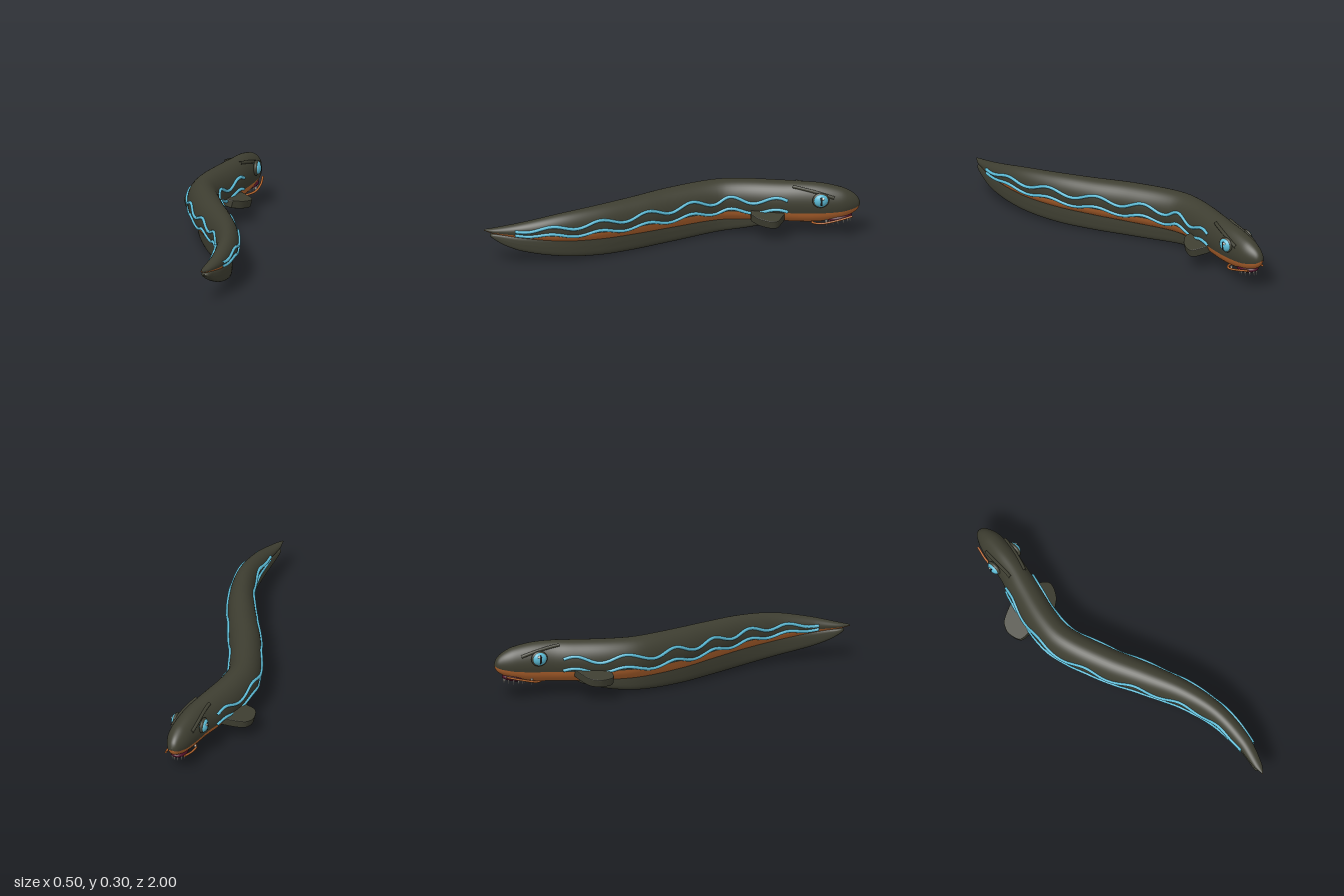
import * as THREE from 'three';

const mat = (name, color) => {
  const m = new THREE.MeshStandardMaterial({ color });
  m.name = name;
  return m;
};

// Smooth interpolation through rows of [z, value, value...]
const sampler = (rows) => (z) => {
  let i = 0;
  while (i < rows.length - 2 && z > rows[i + 1][0]) i++;
  const p = rows[i], q = rows[i + 1], d = q[0] - p[0];
  const t = THREE.MathUtils.clamp((z - p[0]) / d, 0, 1);
  const slope = (k, c) => {
    const a = rows[Math.max(k - 1, 0)], b = rows[Math.min(k + 1, rows.length - 1)];
    return (b[c] - a[c]) / (b[0] - a[0]);
  };
  return p.slice(1).map((v, k) => {
    const c = k + 1, t2 = t * t, t3 = t2 * t;
    return v * (2 * t3 - 3 * t2 + 1) + q[c] * (3 * t2 - 2 * t3)
      + d * (slope(i, c) * (t3 - 2 * t2 + t) + slope(i + 1, c) * (t3 - t2));
  });
};

// Sideways bend of the spine: z, x
const spine = sampler([
  [-1, 0.032], [-0.9, 0.026], [-0.8, 0.01], [-0.7, -0.01], [-0.6, -0.04], [-0.4, -0.093],
  [-0.25, -0.1], [0, -0.02], [0.2, 0.067], [0.4, 0.145], [0.6, 0.188], [0.8, 0.182], [0.95, 0.145], [1, 0.13]]);

// Body sections: z, top, bottom, half width
const body = sampler([
  [-1, 0.18, 0.176, 0.001], [-0.99, 0.207, 0.152, 0.022], [-0.97, 0.23, 0.132, 0.036], [-0.94, 0.25, 0.116, 0.05],
  [-0.9, 0.268, 0.1, 0.061], [-0.8, 0.29, 0.083, 0.07], [-0.7, 0.297, 0.079, 0.073], [-0.6, 0.298, 0.079, 0.08],
  [-0.3, 0.3, 0.08, 0.083], [0, 0.297, 0.082, 0.083], [0.2, 0.291, 0.09, 0.077], [0.4, 0.285, 0.1, 0.066],
  [0.6, 0.268, 0.115, 0.054], [0.8, 0.229, 0.14, 0.04], [0.95, 0.193, 0.163, 0.022], [1, 0.183, 0.175, 0.003]]);

// Keel fin sections: z, top, bottom, half width
const keel = sampler([
  [-0.57, 0.09, 0.075, 0.004], [-0.54, 0.11, 0.062, 0.024], [-0.4, 0.13, 0.03, 0.029], [-0.2, 0.13, 0.01, 0.03],
  [0, 0.13, 0.003, 0.03], [0.2, 0.135, 0.005, 0.03], [0.4, 0.14, 0.014, 0.028], [0.6, 0.145, 0.035, 0.026],
  [0.8, 0.155, 0.07, 0.025], [0.9, 0.162, 0.105, 0.023], [0.96, 0.163, 0.143, 0.02], [0.97, 0.156, 0.15, 0.002]]);

// Point on a section ring; angle 0 is the +x flank, PI/2 the top
function surface(section, z, a, power = 1, grow = 0) {
  const [top, bottom, w] = section(z);
  const x = spine(z)[0];
  const s = (spine(Math.min(z + 0.01, 1))[0] - spine(Math.max(z - 0.01, -1))[0]) / 0.02;
  const len = Math.hypot(1, s);
  const c = Math.sign(Math.cos(a)) * Math.abs(Math.cos(a)) ** power * (w + grow);
  const v = Math.sign(Math.sin(a)) * Math.abs(Math.sin(a)) ** power * ((top - bottom) / 2 + grow);
  return new THREE.Vector3(x + c / len, (top + bottom) / 2 + v, z - c * s / len);
}

// Skin stretched over the rings between two angles
function loft(section, z0, z1, a0, a1, rings, sides, power) {
  const pos = [], idx = [];
  for (let i = 0; i <= rings; i++) {
    const z = z0 + (z1 - z0) * (1 - Math.cos(Math.PI * i / rings)) / 2;
    for (let j = 0; j <= sides; j++) {
      pos.push(...surface(section, z, a0 + (a1 - a0) * j / sides, power).toArray());
      if (i < rings && j < sides) {
        const p = i * (sides + 1) + j, q = p + sides + 1;
        idx.push(p, p + 1, q, p + 1, q + 1, q);
      }
    }
  }
  const g = new THREE.BufferGeometry();
  g.setAttribute('position', new THREE.Float32BufferAttribute(pos, 3));
  g.setIndex(idx);
  g.computeVertexNormals();
  return g;
}

const tube = (pts, r, n = 40) =>
  new THREE.TubeGeometry(new THREE.CatmullRomCurve3(pts), n, r, 8);

export function createModel() {
  const model = new THREE.Group();
  const dark = mat('dark olive skin', 0x3e3e31);
  const orange = mat('orange belly', 0xb8672f);
  const blue = mat('bright blue', 0x5cbbd6);
  const maroon = mat('maroon mouth', 0x4f1029);
  const ivory = mat('ivory', 0xe8e4d8);
  const black = mat('black pupil', 0x141414);
  dark.side = orange.side = THREE.DoubleSide;

  const add = (name, geometry, material, parent = model) => {
    const m = new THREE.Mesh(geometry, material);
    m.name = name;
    parent.add(m);
    return m;
  };
  const ball = (name, material, center, radii, parent) => {
    const m = add(name, new THREE.SphereGeometry(1, 24, 16), material, parent);
    m.position.set(...center);
    m.scale.set(...radii);
    return m;
  };

  // Body, split along the flank into back and belly
  const edge = -0.42;
  add('back', loft(body, -1, 1, edge, Math.PI - edge, 90, 32), dark);
  add('belly', loft(body, -1, 1, -Math.PI - edge, edge, 90, 20), orange);
  add('keelFin', loft(keel, -0.57, 0.97, 0, Math.PI * 2, 70, 24, 0.6), dark);

  for (const side of [1, -1]) {
    const label = side > 0 ? 'left' : 'right';
    const flank = (a) => (side > 0 ? a : Math.PI - a);

    // Wavy stripes along the flank
    [[0.19, 0.16, 'UpperStripe'], [-0.37, 0.13, 'LowerStripe']].forEach(([level, amp, name]) => {
      const pts = [];
      for (let i = 0; i <= 72; i++) {
        const z = -0.64 + 1.48 * i / 72;
        const a = level + amp * Math.cos((z - 0.165) / 0.25 * Math.PI * 2);
        pts.push(surface(body, z, flank(a), 1, 0.002));
      }
      add(label + name, tube(pts, 0.0085, 180), blue);
    });

    // Slanted brow ridge
    const brow = [];
    for (let i = 0; i <= 8; i++) {
      const t = i / 8;
      brow.push(surface(body, -0.66 - 0.205 * t, flank(1.0 - 0.52 * t), 1, 0.002));
    }
    add(label + 'Brow', tube(brow, 0.009), dark);

    // Eye with socket, slit pupil and glint
    const eye = new THREE.Group();
    eye.name = label + 'Eye';
    eye.position.set(0.006 + side * 0.074, 0.22, -0.785);
    ball('socket', dark, [0, 0, 0], [0.016, 0.041, 0.045], eye);
    ball('iris', blue, [side * 0.003, 0, 0], [0.023, 0.035, 0.038], eye);
    ball('pupil', black, [side * 0.021, 0, 0], [0.006, 0.025, 0.007], eye);
    ball('glint', ivory, [side * 0.022, 0.014, -0.009], [0.005, 0.007, 0.007], eye);
    model.add(eye);

    // Pectoral fin: outline of outward distance and z, drooping from the flank
    const outline = side > 0
      ? [[0.1, -0.6], [0.14, -0.58], [0.175, -0.555], [0.177, -0.52], [0.145, -0.465], [0.1, -0.43]]
      : [[0.045, -0.6], [0.135, -0.565], [0.165, -0.53], [0.173, -0.49], [0.155, -0.435], [0.1, -0.425]];
    const shape = new THREE.Shape();
    shape.moveTo(side * 0.02, -0.59);
    shape.splineThru(outline.map(([u, z]) => new THREE.Vector2(side * u, z)));
    shape.lineTo(side * 0.02, -0.44);
    const g = new THREE.ExtrudeGeometry(shape, {
      depth: 0.032, bevelThickness: 0.006, bevelSize: 0.004, bevelSegments: 2, curveSegments: 20 });
    g.rotateX(Math.PI / 2);
    g.rotateZ(-side * 0.25);
    g.translate(-0.075, 0.163, 0);
    add(label + 'PectoralFin', g, dark);
  }

  // Mouth under the snout
  const mouth = new THREE.Group();
  mouth.name = 'mouth';
  mouth.position.set(0.026, 0.106, -0.89);
  mouth.rotation.x = 0.12;
  model.add(mouth);
  ball('gums', maroon, [0, 0, 0], [0.044, 0.021, 0.068], mouth);
  for (let i = 0; i < 12; i++) {
    const a = (i + 0.5) / 12 * Math.PI * 2;
    const tooth = add('tooth', new THREE.ConeGeometry(0.005, 0.026, 8), ivory, mouth);
    tooth.position.set(Math.cos(a) * 0.036, -0.022, Math.sin(a) * 0.056);
    tooth.rotation.x = Math.PI;
  }

  // Lower lip curving behind the mouth, with a fang at each corner
  const lip = [[-0.052, 0.122, -0.95], [-0.062, 0.104, -0.87], [-0.048, 0.085, -0.79], [0, 0.078, -0.75],
    [0.048, 0.085, -0.79], [0.062, 0.104, -0.87], [0.052, 0.122, -0.95]];
  add('lowerLip', tube(lip.map(([x, y, z]) => new THREE.Vector3(x + 0.015 - (z + 0.75) * 0.07, y, z)), 0.006, 60), orange);
  for (const side of [1, -1]) {
    const fang = add('fang', new THREE.ConeGeometry(0.007, 0.035, 8), ivory);
    fang.position.set(0.018 + side * 0.052, 0.088, -0.815);
    fang.rotation.x = Math.PI;
  }
  return model;
}
